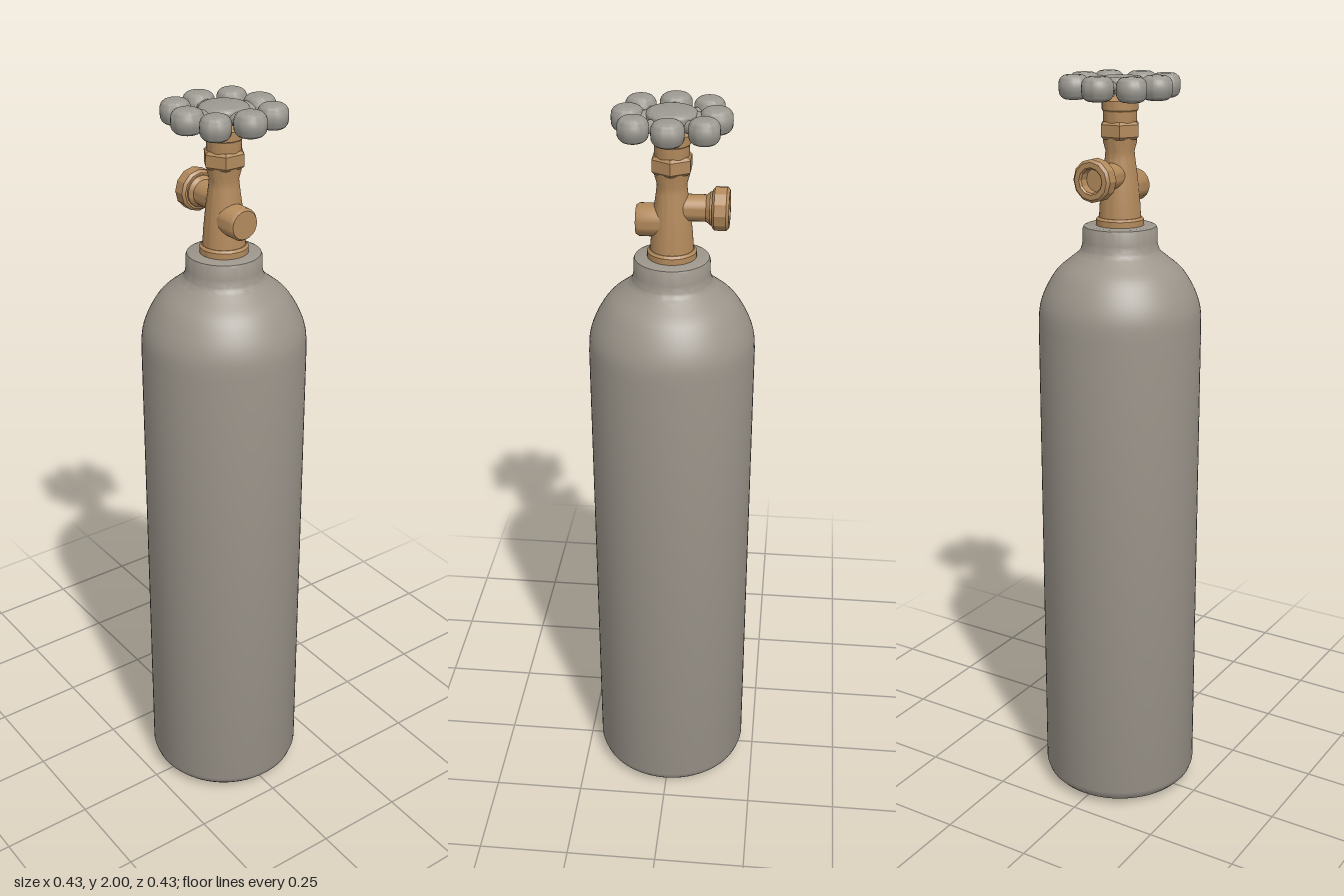
import * as THREE from 'three';
import { toCreasedNormals } from 'three/addons/utils/BufferGeometryUtils.js';

const grey = new THREE.MeshStandardMaterial({ color: 0x9c958b });
grey.name = 'tankGrey';
const wheelGrey = new THREE.MeshStandardMaterial({ color: 0x9c9991 });
wheelGrey.name = 'wheelGrey';
const brass = new THREE.MeshStandardMaterial({ color: 0xb38a5c });
brass.name = 'brass';

// Lathe from [radius, height] pairs listed from bottom to top
function lathe(name, points, material, segments = 48, crease = 0.6) {
  const geometry = new THREE.LatheGeometry(points.map(([r, y]) => new THREE.Vector2(r, y)), segments);
  const mesh = new THREE.Mesh(toCreasedNormals(geometry, crease), material);
  mesh.name = name;
  return mesh;
}

// Rounded disc profile: half height h, radius r, edge radius e
function roundedDisc(r, h, e) {
  const points = [[0, -h]];
  for (let i = 0; i <= 12; i++) {
    const a = -Math.PI / 2 + (i / 12) * Math.PI;
    points.push([r - e + e * Math.cos(a), Math.sign(Math.sin(a)) * (h - e) + e * Math.sin(a)]);
  }
  points.push([0, h]);
  return points;
}

function makeTank() {
  // Dished base, rounded foot, straight wall, domed shoulder and collar
  const shoulder = new THREE.SplineCurve([
    [0.215, 1.365], [0.211, 1.41], [0.195, 1.455], [0.165, 1.503],
    [0.125, 1.537], [0.104, 1.556], [0.097, 1.58]
  ].map(([x, y]) => new THREE.Vector2(x, y))).getPoints(24).map(p => [p.x, p.y]);
  return lathe('tank', [
    [0, 0.03], [0.08, 0.028], [0.125, 0.02], [0.142, 0.008], [0.152, 0.001], [0.165, 0],
    [0.182, 0.007], [0.198, 0.018], [0.209, 0.03], [0.215, 0.048],
    ...shoulder, [0.097, 1.612], [0.094, 1.619], [0.087, 1.622], [0, 1.622]
  ], grey, 72, 0.7);
}

function makeValve() {
  const valve = new THREE.Group();
  valve.name = 'valve';

  // Base ring and waisted valve stem
  valve.add(lathe('valveBase', [[0, 1.615], [0.062, 1.615], [0.062, 1.637], [0.056, 1.643], [0, 1.643]], brass));
  const stem = lathe('valveStem', [
    [0, 1.63], [0.055, 1.63], [0.052, 1.68], [0.046, 1.74], [0.039, 1.79],
    [0.037, 1.81], [0.043, 1.832], [0.043, 1.93], [0, 1.93]
  ], brass);
  valve.add(stem);

  // Hexagonal gland nut and packing collar below the wheel
  valve.add(lathe('glandNut', [
    [0, 1.84], [0.047, 1.84], [0.054, 1.847], [0.054, 1.877], [0.047, 1.884], [0, 1.884]
  ], brass, 6, 0.3));
  valve.add(lathe('packingCollar', [
    [0, 1.905], [0.041, 1.905], [0.046, 1.912], [0.046, 1.935], [0.03, 1.945], [0, 1.945]
  ], brass));

  // Short plugged port on the left
  const plug = lathe('reliefPlug', [
    [0, 0], [0.041, 0], [0.041, 0.08], [0.036, 0.088], [0, 0.088]
  ], brass, 32);
  plug.rotation.z = -Math.PI / 2;
  plug.position.y = 1.715;
  valve.add(plug);

  // Outlet on the right, with an open six-sided nut
  const outlet = new THREE.Group();
  outlet.name = 'outlet';
  outlet.add(lathe('outletPipe', [[0, 0], [0.033, 0], [0.033, 0.085], [0.041, 0.095], [0.041, 0.11], [0, 0.11]], brass, 32));
  const nut = lathe('outletNut', [
    [0, 0.1], [0.047, 0.1], [0.054, 0.106], [0.054, 0.135], [0.047, 0.142],
    [0.034, 0.142], [0.03, 0.137], [0.03, 0.112], [0, 0.112]
  ], brass, 12, 0.4);
  outlet.add(nut);
  outlet.rotation.z = Math.PI / 2;
  outlet.position.y = 1.75;
  valve.add(outlet);
  return valve;
}

function makeHandwheel() {
  const wheel = new THREE.Group();
  wheel.name = 'handwheel';
  wheel.position.y = 1.969;

  const hub = lathe('hub', roundedDisc(0.063, 0.02, 0.014), wheelGrey, 40, 1.2);
  hub.position.y = 0.004;
  wheel.add(hub);

  // Eight rounded grips on arms; the four main arms are wider
  const lobeShape = lathe('grip', roundedDisc(0.04, 0.03, 0.022), wheelGrey, 32, 1.2).geometry;
  const armShape = new THREE.CapsuleGeometry(1, 2, 6, 16);
  for (let i = 0; i < 8; i++) {
    const main = i % 2 === 0;
    const spoke = new THREE.Group();
    spoke.name = 'spoke' + (i + 1);
    spoke.rotation.y = (i * Math.PI) / 4;
    const grip = new THREE.Mesh(lobeShape, wheelGrey);
    grip.name = 'grip';
    grip.position.x = main ? 0.106 : 0.118;
    if (!main) grip.scale.set(0.95, 1, 0.95);
    const arm = new THREE.Mesh(armShape, wheelGrey);
    arm.name = 'arm';
    arm.rotation.z = Math.PI / 2;
    arm.scale.set(0.016, 0.026, main ? 0.026 : 0.014);
    arm.position.set(0.07, main ? 0.003 : -0.004, 0);
    spoke.add(grip, arm);
    wheel.add(spoke);
  }
  return wheel;
}

export function createModel() {
  const model = new THREE.Group();
  model.name = 'gasCylinder';
  model.add(makeTank(), makeValve(), makeHandwheel());
  return model;
}
